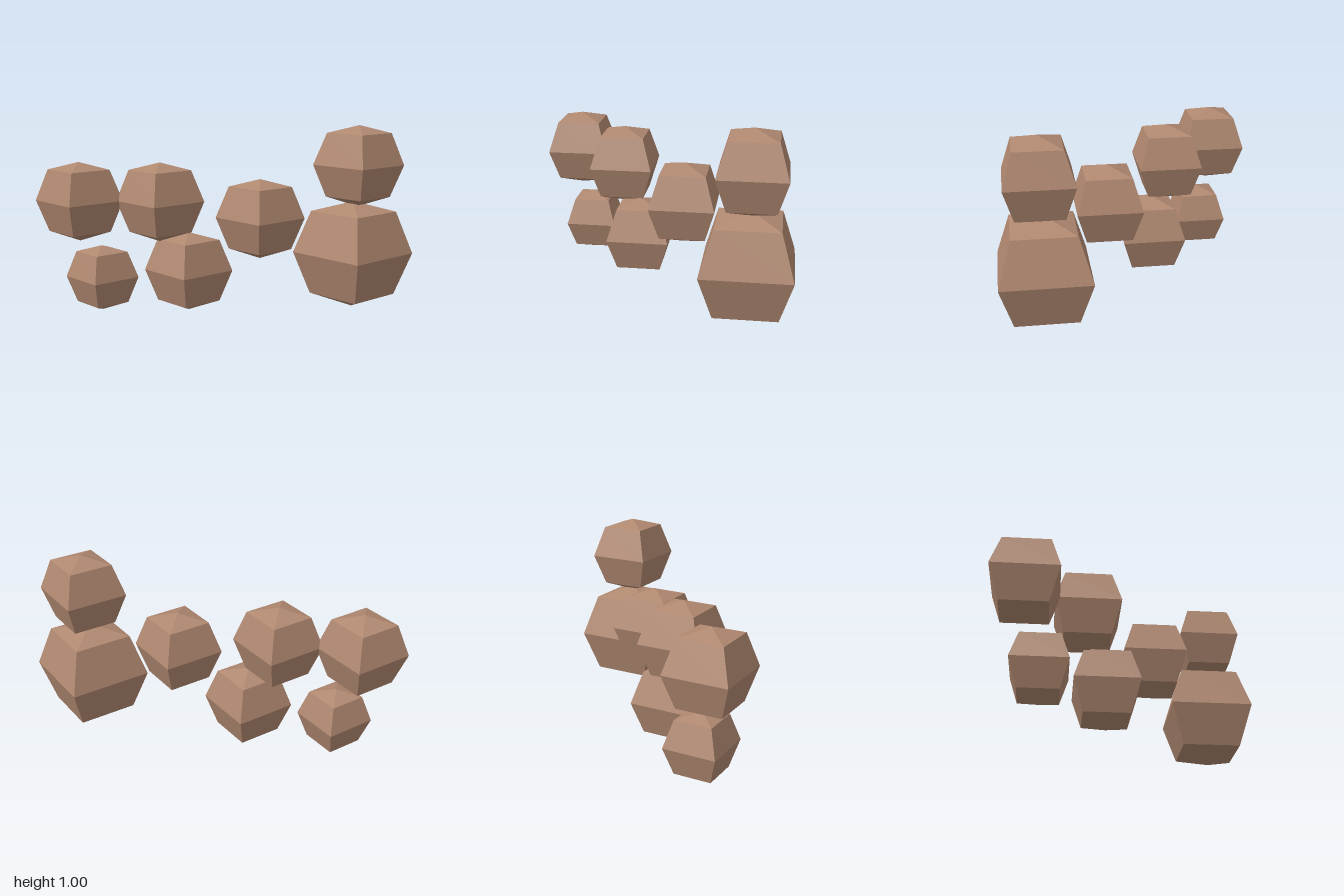
import * as THREE from 'three';

export function createModel() {
  const group = new THREE.Group();
  const material = new THREE.MeshStandardMaterial({ color: 0xb08870, flatShading: true });

  // Four-sided faceted ball with flattened poles, unit radius
  const profile = [[0, -0.922], [0.707, -0.707], [1, 0], [0.707, 0.707], [0, 0.88]]
    .map(([r, y]) => new THREE.Vector2(r, y));
  const ball = new THREE.LatheGeometry(profile, 4);

  // name, x, y, radius
  const lumps = [
    ['upperLumpOuter', -0.766, 0.597, 0.235],
    ['upperLumpInner', -0.333, 0.597, 0.235],
    ['lowerLumpInner', -0.184, 0.226, 0.235],
    ['lowerLumpOuter', -0.651, 0.183, 0.196],
    ['middleLump', 0.197, 0.513, 0.235],
    ['largeLump', 0.686, 0.332, 0.313],
    ['topLump', 0.706, 0.797, 0.235],
  ];
  for (const [name, x, y, radius] of lumps) {
    const mesh = new THREE.Mesh(ball, material);
    mesh.name = name;
    mesh.position.set(x, y, 0);
    mesh.scale.setScalar(radius);
    group.add(mesh);
  }
  return group;
}
